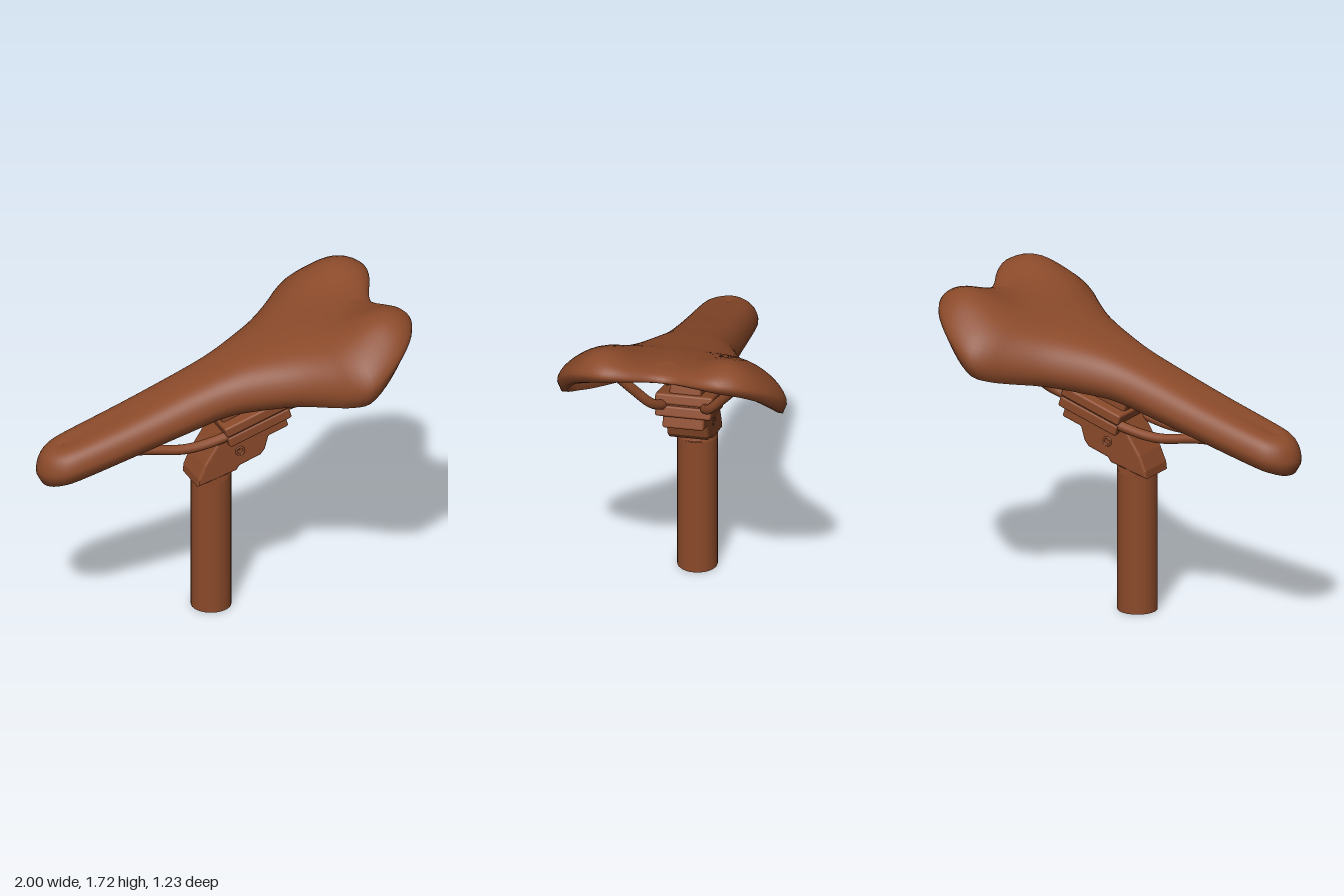
import * as THREE from 'three';
import { mergeVertices } from 'three/addons/utils/BufferGeometryUtils.js';
import { RoundedBoxGeometry } from 'three/addons/geometries/RoundedBoxGeometry.js';

const material = new THREE.MeshStandardMaterial({ color: 0x8b4a2a });
const openMaterial = new THREE.MeshStandardMaterial({ color: 0x8b4a2a, side: THREE.DoubleSide });

function add(parent, name, geometry, x = 0, y = 0, z = 0) {
  const mesh = new THREE.Mesh(geometry, material);
  mesh.name = name;
  mesh.position.set(x, y, z);
  parent.add(mesh);
  return mesh;
}

// Half outline of the saddle, nose to rear notch: rim x, rim z, rim y, spine x, spine y
const OUTLINE = [
  [-1.003, 0, 0.915, -0.84, 1.12], [-0.98, 0.075, 0.918, -0.835, 1.122],
  [-0.92, 0.135, 0.937, -0.81, 1.132], [-0.82, 0.166, 0.965, -0.75, 1.155],
  [-0.5, 0.185, 1.055, -0.47, 1.25], [-0.2, 0.2, 1.14, -0.2, 1.35],
  [0, 0.22, 1.2, 0, 1.42], [0.15, 0.27, 1.23, 0.14, 1.473],
  [0.35, 0.38, 1.27, 0.32, 1.53], [0.5, 0.505, 1.295, 0.45, 1.57],
  [0.58, 0.578, 1.315, 0.52, 1.595], [0.66, 0.622, 1.345, 0.58, 1.61],
  [0.76, 0.602, 1.42, 0.63, 1.62], [0.87, 0.537, 1.515, 0.68, 1.63],
  [0.955, 0.445, 1.58, 0.71, 1.635], [1.002, 0.32, 1.615, 0.74, 1.64],
  [0.98, 0.2, 1.615, 0.76, 1.64], [0.928, 0.085, 1.595, 0.78, 1.64],
  [0.91, 0, 1.585, 0.79, 1.64],
];

// Hollow padded shell: rings run from the inner ceiling out round the rim and over the top
function saddleGeometry() {
  const mirrored = OUTLINE.slice(1, -1).reverse().map(([x, z, ...rest]) => [x, -z, ...rest]);
  const all = [...OUTLINE, ...mirrored];
  const closed = (points) => new THREE.CatmullRomCurve3(points, true, 'catmullrom', 0.5);
  const rim = closed(all.map(([x, z, y]) => new THREE.Vector3(x, y, z)));
  const spine = closed(all.map(([, , , x, y]) => new THREE.Vector3(x, y, 0)));
  const count = all.length * 3, steps = 14, rings = 2 * steps + 2;
  const positions = [], index = [];

  for (let j = 0; j < rings; j++) {
    const inner = j <= steps;
    const angle = (inner ? steps - j : j - steps - 1) / steps * Math.PI / 2;
    const power = inner ? 0.45 : 0.7;
    const across = Math.pow(Math.max(0, Math.cos(angle)), power);
    const up = Math.pow(Math.sin(angle), power);
    // the lower edge tucks in beneath the widest line
    const inset = inner ? 0.06 : 0.03 * (1 - Math.min(1, up / 0.35)) ** 2;
    for (let i = 0; i < count; i++) {
      const p = rim.getPoint(i / count), s = spine.getPoint(i / count);
      const reach = Math.hypot(p.x - s.x, p.z);
      const f = across * (1 - inset / reach);
      const x = s.x + (p.x - s.x) * f, z = p.z * f;
      const rise = s.y - (inner ? 0.12 : 0) - p.y;
      // where the ceiling lies below the rear rim it ramps down gently
      let y = p.y + rise * (rise > 0 ? up : 1 - across);
      // two raised lobes at the rear
      if (!inner) y += 0.12 * up * Math.exp(-(((x - 0.86) / 0.26) ** 2) - ((Math.abs(z) - 0.37) / 0.21) ** 2);
      positions.push(x, y, z);
    }
  }
  for (let j = 0; j < rings - 1; j++) {
    for (let i = 0; i < count; i++) {
      const n = (i + 1) % count;
      const a = j * count + i, b = j * count + n, c = a + count, d = b + count;
      index.push(a, b, c, b, d, c);
    }
  }
  let geometry = new THREE.BufferGeometry();
  geometry.setAttribute('position', new THREE.Float32BufferAttribute(positions, 3));
  geometry.setIndex(index);
  geometry = mergeVertices(geometry, 1e-4);
  geometry.computeVertexNormals();
  return geometry;
}

// Side profile drawn in x and y, extruded across z
function extruded(points, width, bevel) {
  const shape = new THREE.Shape(points.map(([x, y]) => new THREE.Vector2(x, y)));
  const depth = width - 2 * bevel;
  return new THREE.ExtrudeGeometry(shape, {
    depth, bevelThickness: bevel, bevelSize: bevel, bevelOffset: -bevel, bevelSegments: 3,
  }).translate(0, 0, -depth / 2);
}

// Round bolt head with a raised ring and hexagonal centre, facing +z or -z
function addBolt(parent, name, x, y, z) {
  const bolt = new THREE.Group();
  bolt.name = name;
  bolt.position.set(x, y, z);
  add(bolt, 'boltHead', new THREE.CylinderGeometry(0.026, 0.026, 0.02, 20).rotateX(Math.PI / 2));
  add(bolt, 'boltRing', new THREE.TorusGeometry(0.022, 0.006, 8, 20), 0, 0, Math.sign(z) * 0.01);
  add(bolt, 'boltSocket', new THREE.CylinderGeometry(0.01, 0.01, 0.026, 6).rotateX(Math.PI / 2));
  parent.add(bolt);
}

export function createModel() {
  const model = new THREE.Group();
  model.name = 'bicycleSaddle';

  add(model, 'saddleShell', saddleGeometry());

  // Open seat post tube, slanted collar and angled head
  const post = new THREE.CylinderGeometry(0.107, 0.107, 0.79, 32, 1, true);
  add(model, 'seatPost', post, -0.01, 0.395, 0).material = openMaterial;
  const collar = add(model, 'collar', new THREE.CylinderGeometry(0.106, 0.109, 0.06, 32), -0.014, 0.795, 0);
  collar.rotation.z = 0.26;
  add(model, 'postHead', extruded([
    [-0.13, 0.768], [0.092, 0.825], [0.11, 0.85], [0.23, 0.89], [0.255, 0.92], [0.275, 0.99],
    [0.32, 1.03], [0.28, 1.1], [0.02, 1.06], [-0.03, 0.98], [-0.09, 0.89], [-0.125, 0.81],
  ], 0.222, 0.014));

  // Clamp that grips the rails
  const clamp = new THREE.Group();
  clamp.name = 'railClamp';
  clamp.position.set(0.2, 1.1, 0);
  clamp.rotation.z = 0.31;
  model.add(clamp);
  add(clamp, 'cradle', new RoundedBoxGeometry(0.31, 0.08, 0.222, 3, 0.012), 0.005, -0.083, 0);
  add(clamp, 'lowerJaw', new RoundedBoxGeometry(0.37, 0.06, 0.3, 3, 0.012), 0, -0.028, 0);
  add(clamp, 'jawSeam', new THREE.BoxGeometry(0.35, 0.04, 0.285), 0, 0.004, 0);
  add(clamp, 'upperJaw', new RoundedBoxGeometry(0.37, 0.058, 0.31, 3, 0.012), 0, 0.037, 0);
  add(clamp, 'topPlate', new RoundedBoxGeometry(0.32, 0.09, 0.17, 3, 0.012), -0.005, 0.095, 0);

  // Central rib beneath the shell
  add(model, 'shellRib', extruded([
    [0.02, 1.2], [0.3, 1.24], [0.42, 1.36], [0.6, 1.48], [0.58, 1.52], [0.02, 1.34],
  ], 0.165, 0.01));

  // Mirrored rails and bolts
  for (const side of [-1, 1]) {
    const path = [
      [-0.78, 1.06, 0.06], [-0.6, 1.05, 0.07], [-0.42, 1.04, 0.085], [-0.2, 1.01, 0.105],
      [0, 1.037, 0.115], [0.2, 1.1, 0.115], [0.36, 1.155, 0.115], [0.45, 1.21, 0.16],
      [0.505, 1.31, 0.24], [0.56, 1.42, 0.33], [0.64, 1.5, 0.41],
    ].map(([x, y, z]) => new THREE.Vector3(x, y, z * side));
    const name = side > 0 ? 'frontSide' : 'backSide';
    add(model, name + 'Rail', new THREE.TubeGeometry(new THREE.CatmullRomCurve3(path), 72, 0.027, 12));
    addBolt(model, name + 'HeadBolt', 0.11, 0.94, side * 0.1);
    addBolt(model, name + 'ClampBolt', 0.185, 1.21, side * 0.078);
  }
  return model;
}
